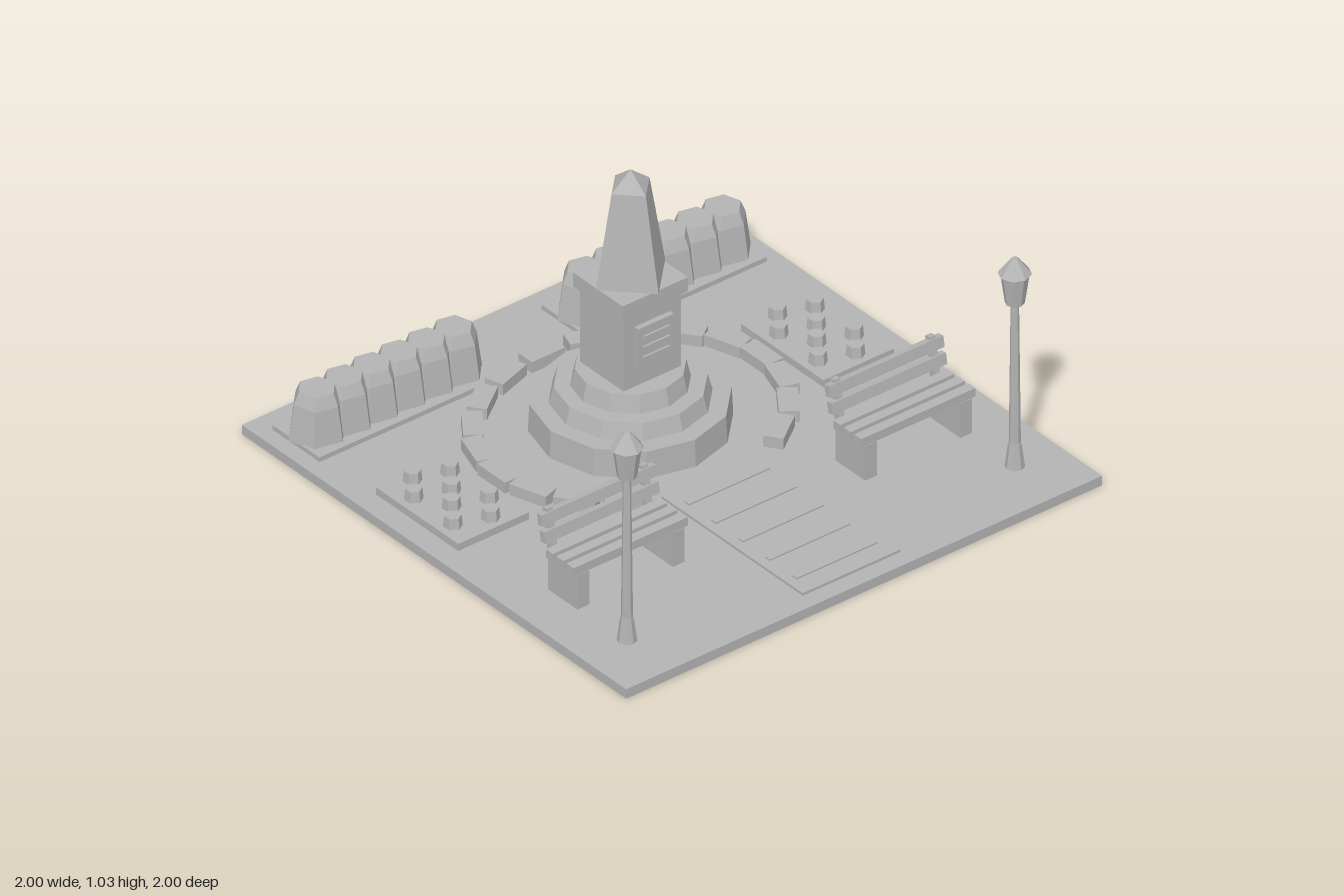
import * as THREE from 'three';

const grey = new THREE.MeshStandardMaterial({ color: 0xb4b4b4, flatShading: true });
grey.name = 'stone grey';

const GROUND = 0.037;

function add(parent, name, geometry, x, y, z) {
  const mesh = new THREE.Mesh(geometry, grey);
  mesh.name = name;
  mesh.position.set(x, y, z);
  parent.add(mesh);
  return mesh;
}

// Box given by its centre in x and z and its bottom and top heights
function box(parent, name, w, d, y0, y1, x = 0, z = 0) {
  return add(parent, name, new THREE.BoxGeometry(w, y1 - y0, d), x, (y0 + y1) / 2, z);
}

// Faceted cylinder or cone between two heights
function prism(parent, name, r0, r1, y0, y1, sides, x = 0, z = 0) {
  return add(parent, name, new THREE.CylinderGeometry(r1, r0, y1 - y0, sides), x, (y0 + y1) / 2, z);
}

function group(parent, name, x = 0, z = 0) {
  const g = new THREE.Group();
  g.name = name;
  g.position.set(x, 0, z);
  parent.add(g);
  return g;
}

function monument(parent) {
  const g = group(parent, 'monument', 0, -0.216);
  prism(g, 'lowerStep', 0.34, 0.335, GROUND, 0.14, 12);
  prism(g, 'middleStep', 0.272, 0.255, 0.14, 0.2, 12);
  prism(g, 'upperStep', 0.2, 0.185, 0.2, 0.265, 12);
  box(g, 'pedestal', 0.24, 0.226, 0.265, 0.56);
  box(g, 'pedestalCap', 0.275, 0.258, 0.56, 0.615);
  prism(g, 'obelisk', 0.146, 0.08, 0.615, 0.965, 4);
  prism(g, 'obeliskTip', 0.08, 0, 0.965, 1.03, 4);
  // plaque with raised bars on the front face
  box(g, 'plaque', 0.148, 0.02, 0.345, 0.5, 0, 0.123);
  for (const y of [0.38, 0.42, 0.46]) box(g, 'plaqueBar', 0.11, 0.008, y - 0.007, y + 0.007, 0, 0.136);
}

// Oval ring of kerb stones, open towards the path
function kerb(parent) {
  const g = group(parent, 'kerbRing', 0, -0.216);
  for (let i = 2; i <= 18; i++) {
    const a = (i * Math.PI) / 10;
    const stone = box(g, 'kerbStone', 0.142, 0.07, GROUND, 0.08, 0.55 * Math.sin(a), 0.46 * Math.cos(a));
    stone.rotation.y = a;
  }
}

function path(parent) {
  const g = group(parent, 'path', 0, 0.567);
  box(g, 'pathSlab', 0.41, 0.735, GROUND, 0.047);
  for (let i = -2; i <= 2; i++) box(g, 'pathStrip', 0.34, 0.025, 0.047, 0.053, 0, i * 0.14);
}

function hedge(parent, side) {
  const g = group(parent, 'hedge', side * 0.565, -0.793);
  box(g, 'hedgeBed', 0.75, 0.245, GROUND, 0.055);
  for (let i = 0; i < 6; i++) {
    const bush = group(g, 'bush', (i - 2.5) * 0.115);
    bush.rotation.y = 0.3;
    prism(bush, 'bushBody', 0.103, 0.084, 0.05, 0.185, 6);
    prism(bush, 'bushTop', 0.084, 0.066, 0.185, 0.23, 6);
  }
}

function flowerBed(parent, side) {
  const g = group(parent, 'flowerBed', side * 0.767, -0.192);
  box(g, 'soil', 0.298, 0.428, GROUND, 0.065);
  const columns = [-0.03, 0.093, -0.094, 0.029];
  for (let i = 0; i < 8; i++) {
    const z = -0.172 + (i % 4) * 0.043 + (i > 3 ? 0.204 : 0);
    prism(g, 'flower', 0.033, 0.029, 0.065, 0.106, 6, columns[i % 4], z);
  }
}

function bench(parent, side) {
  const g = group(parent, 'bench', side * 0.604, 0);
  for (const z of [0.407, 0.461, 0.515]) box(g, 'seatSlat', 0.48, 0.037, 0.172, 0.205, 0, z);
  for (const x of [-0.2, 0.2]) {
    box(g, 'leg', 0.05, 0.155, GROUND, 0.172, x, 0.458);
    // leaning back posts
    const post = box(g, 'backPost', 0.025, 0.024, 0.15, 0.335, x, 0.364);
    post.rotation.x = -0.17;
  }
  for (const [y, z] of [[0.243, 0.372], [0.303, 0.358]]) {
    const slat = box(g, 'backSlat', 0.48, 0.026, y - 0.021, y + 0.021, 0, z);
    slat.rotation.x = -0.17;
  }
}

function lamp(parent, side) {
  const g = group(parent, 'streetLamp', side * 0.815, 0.775);
  prism(g, 'lampFoot', 0.034, 0.022, GROUND, 0.13, 8);
  prism(g, 'lampPole', 0.02, 0.014, 0.13, 0.68, 8);
  prism(g, 'lantern', 0.033, 0.05, 0.68, 0.8, 8);
  prism(g, 'lanternRoof', 0.057, 0.018, 0.795, 0.845, 8);
  prism(g, 'lanternFinial', 0.018, 0.01, 0.845, 0.855, 8);
}

export function createModel() {
  const model = new THREE.Group();
  model.name = 'memorialPark';
  box(model, 'ground', 2, 2, 0, GROUND);
  monument(model);
  kerb(model);
  path(model);
  for (const side of [-1, 1]) {
    hedge(model, side);
    flowerBed(model, side);
    bench(model, side);
    lamp(model, side);
  }
  return model;
}
